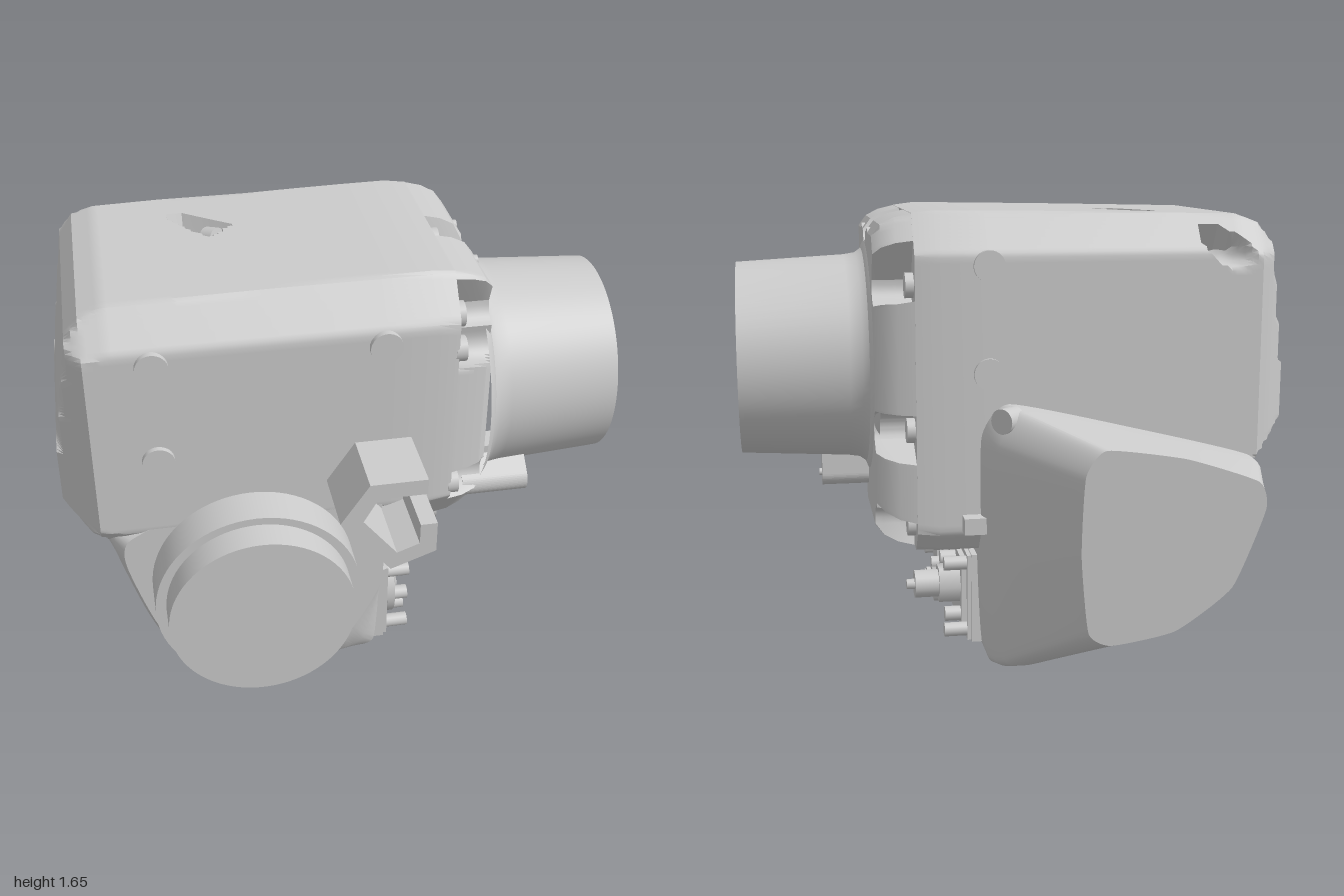
import * as THREE from 'three';
import { toCreasedNormals } from 'three/addons/utils/BufferGeometryUtils.js';

const V = (x, y, z) => new THREE.Vector3(x, y, z);
const mat = new THREE.MeshStandardMaterial({ color: 0xcccccc });

// Skin a list of closed rings (counter-clockwise about the loft direction) and cap both ends
function loft(rings, crease = 0.45) {
  const n = rings[0].length, pos = [], idx = [];
  rings.forEach(r => r.forEach(p => pos.push(p.x, p.y, p.z)));
  for (let i = 0; i < rings.length - 1; i++) for (let j = 0; j < n; j++) {
    const k = (j + 1) % n, a = i * n + j, b = i * n + k;
    idx.push(a, b, b + n, a, b + n, a + n);
  }
  [0, rings.length - 1].forEach((i, last) => {
    const c = rings[i].reduce((s, p) => s.add(p), V(0, 0, 0)).divideScalar(n);
    const m = pos.push(c.x, c.y, c.z) / 3 - 1;
    for (let j = 0; j < n; j++) {
      const a = i * n + j, b = i * n + (j + 1) % n;
      if (last) idx.push(m, a, b);
      else idx.push(m, b, a);
    }
  });
  const g = new THREE.BufferGeometry();
  g.setAttribute('position', new THREE.Float32BufferAttribute(pos, 3));
  g.setIndex(idx);
  return toCreasedNormals(g, crease);
}

// Chamfered housing outline as (z, y) corners, measured from an inner centre
const CY = 1.0, CZ = 0.05;
const chamfers = [[.43, 1.64, .54, 1.5], [-.34, 1.64, -.44, 1.5], [.54, .78, .21, .42], [-.44, .5, -.37, .42]];
const planes = chamfers.map(([z1, y1, z2, y2]) => {
  const l = Math.hypot(y2 - y1, z1 - z2), nz = (y2 - y1) / l, ny = (z1 - z2) / l;
  const d = nz * (z1 - CZ) + ny * (y1 - CY), s = Math.sign(d);
  return [nz * s, ny * s, d * s];
});
function outline(t, [, lo, hi, zb, zf, e]) {
  const y = Math.cos(t), z = Math.sin(t);
  let r = Math.min(y > 0 ? (hi - CY) / y : (lo - CY) / y, z > 0 ? (zf - CZ) / z : (zb - CZ) / z);
  planes.forEach(([nz, ny, d]) => {
    const c = nz * z + ny * y;
    if (c > 1e-6) r = Math.min(r, (d - e) / c);
  });
  return r;
}
// Half-step offset keeps every ray off the axes
const angles = Array.from({ length: 300 }, (_, i) => (i + .5) / 300 * Math.PI * 2);
const ringPoint = (x, t, r) => V(x, CY + r * Math.cos(t), CZ + r * Math.sin(t));

// Slanted screw channel sunk into the top rear edge
const chanA = V(-.36, 1.62, -.04), chanD = V(-.4, -.11, -.39).normalize();
function inChannel(p) {
  const q = p.clone().sub(chanA), s = q.dot(chanD);
  return s > 0 && q.lengthSq() - s * s < .06 * .06;
}

// Sections: x, bottom, top, back z, front z, chamfer inset
const bodySections = [
  [-1, .87, 1.08, -.34, .42, .06], [-.93, .8, 1.53, -.41, .49, .03], [-.88, .74, 1.6, -.44, .54, .01],
  [-.8, .58, 1.63, -.44, .54, 0], [-.05, .42, 1.645, -.44, .54, 0], [.3, .42, 1.65, -.44, .54, 0],
  [.38, .425, 1.64, -.43, .525, .01]];
const bodySteps = [3, 2, 4, 40, 2, 1];
// Flange bolt positions as (z, y)
const bolts = [[.44, 1.49], [.485, 1.38], [.055, 1.58], [-.36, 1.39], [-.36, .87], [-.34, .52], [.22, .5], [.485, .82]];

function bodyGeometry() {
  const rings = [];
  bodySections.forEach((s, i) => {
    const nx = bodySections[i + 1], steps = nx ? bodySteps[i] : 1;
    for (let k = 0; k < steps; k++) {
      const m = nx ? s.map((v, j) => v + (nx[j] - v) * k / steps) : s;
      rings.push(angles.map(t => {
        let r = outline(t, m), p = ringPoint(m[0], t, r);
        while (inChannel(p)) p = ringPoint(m[0], t, r -= .004);
        return p;
      }));
    }
  });
  return loft(rings);
}

// Flange with a U-shaped pocket round every bolt
function flangeGeometry() {
  const sections = [[.375, .425, 1.64, -.43, .525, .01], [.44, .44, 1.625, -.415, .51, .02],
    [.49, .465, 1.6, -.39, .49, .04], [.52, .5, 1.56, -.36, .45, .07]];
  return loft(sections.map(s => angles.map(t => {
    let r = outline(t, s);
    bolts.forEach(([bz, by]) => {
      const d = Math.hypot(bz - CZ, by - CY), a = t - Math.atan2(bz - CZ, by - CY);
      const off = d * Math.sin(a);
      if (Math.cos(a) > 0 && Math.abs(off) < .07)
        r = Math.min(r, d * Math.cos(a) - Math.sqrt(.0049 - off * off));
    });
    return ringPoint(s[0], t, r);
  })));
}

// Lower joint housing, lofted from the rear cover to the front face
function jointGeometry() {
  const full = [[.13, .03], [.15, .4], [.15, .85], [.05, .97], [-.4, .87], [-.85, .75], [-.84, .63], [-.71, .25], [-.35, .115], [.02, .01]];
  const front = [[.02, .2], [.13, .42], [.13, .75], [.05, .9], [-.35, .95], [-.78, .75], [-.8, .62], [-.68, .28], [-.35, .14], [-.12, .1]];
  const rear = [[-.17, .22], [-.14, .5], [-.15, .78], [-.22, .87], [-.5, .83], [-.76, .74], [-.79, .64], [-.68, .36], [-.48, .21], [-.25, .17]];
  const mix = (other, k) => full.map((p, i) => p.map((v, j) => v + (other[i][j] - v) * k));
  const sections = [[-.8, rear], [-.77, mix(rear, .9)], [-.56, mix(rear, .15)], [-.52, mix(rear, .06)],
    [-.46, full], [.43, full], [.5, mix(front, .5)], [.54, front]];
  return loft(sections.map(([z, pts]) => new THREE.CatmullRomCurve3(
    pts.map(([x, y]) => V(x, y, z < -.75 ? z + (.87 - y) * .035 : z)), true, 'catmullrom', .25).getPoints(100).slice(0, 100)), .4);
}

export function createModel() {
  const root = new THREE.Group();
  const add = (name, geo, p = [0, 0, 0]) => {
    const m = new THREE.Mesh(geo, mat);
    m.name = name;
    m.position.set(...p);
    root.add(m);
    return m;
  };
  const box = (name, w, h, d, p) => add(name, new THREE.BoxGeometry(w, h, d), p);
  // Cylinder from point a along direction dir
  const rod = (name, r, len, a, dir, sides = 32, r2 = r) => {
    const d = V(...dir).normalize();
    const m = add(name, new THREE.CylinderGeometry(r2, r, len, sides), a);
    m.quaternion.setFromUnitVectors(V(0, 1, 0), d);
    m.position.addScaledVector(d, len / 2);
  };
  const X = [1, 0, 0], Z = [0, 0, 1];

  add('mainHousing', bodyGeometry());
  add('boltFlange', flangeGeometry());
  add('jointHousing', jointGeometry());

  // Output neck with filleted root
  const neck = new THREE.LatheGeometry([[.46, .5], [.435, .522], [.41, .532], [.393, .555], [.386, .6], [.363, 1], [0, 1]]
    .map(p => new THREE.Vector2(...p)), 72);
  neck.rotateZ(-Math.PI / 2);
  add('outputNeck', toCreasedNormals(neck, .5), [0, 1.08, .1]);

  bolts.forEach(([z, y]) => rod('flangeBolt', .045, .04, [.37, y, z], X, 24));
  rod('channelBolt', .04, .05, [-.37, 1.6, -.05], chanD.toArray(), 24);
  for (const z of [.2, -.09]) rod('flangePin', .02, .03, [.49, 1.56, z], X, 16);

  // Round pads on both flanks
  for (const [x, y] of [[-.66, 1.45], [.12, 1.45], [-.66, 1.08]]) rod('frontPad', .056, .03, [x, y, .53], Z);
  for (const y of [1.46, 1.08]) rod('rearPad', .056, .03, [.12, y, -.455], Z);

  // Front joint drum
  rod('jointDrum', .368, .16, [-.35, .535, .53], Z, 72);
  rod('jointCap', .33, .12, [-.35, .545, .68], Z, 72);
  box('drumFoot', .12, .1, .2, [-.35, .12, .5]);
  box('drumEar', .09, .17, .06, [.085, .485, .51]);

  // Forked cable bracket
  const fork = new THREE.Shape([[-.08, .92], [.1, .7], [.26, .76], [.26, .88], [.2, .88], [.2, .8], [.12, .77], [0, .92],
    [.05, 1.01], [.22, 1.01], [.22, 1.07], [.02, 1.07]].map(p => new THREE.Vector2(...p)));
  add('cableFork', new THREE.ExtrudeGeometry(fork, { depth: .27, bevelEnabled: false }), [0, 0, .525]);

  // Stop lugs under the neck, rounded on the outer end
  const lug = new THREE.Shape();
  lug.moveTo(.05, .07);
  lug.lineTo(-.05, .07);
  lug.lineTo(-.05, -.02);
  lug.absarc(0, -.02, .05, Math.PI, Math.PI * 2);
  lug.closePath();
  for (const [y, z, a] of [[.64, .1, 0], [.755, .385, .85]]) {
    const g = new THREE.ExtrudeGeometry(lug, { depth: .25, bevelEnabled: false, curveSegments: 12 });
    g.rotateY(Math.PI / 2);
    add('stopLug', g, [.45, y, z]).rotation.x = -a;
    rod('lugPin', .014, .02, [.69, y - .02, z], X, 12);
  }
  box('sideTab', .1, .06, .08, [.17, .54, -.46]);
  rod('coverBolt', .045, .08, [.04, .93, -.5], [1, 0, -1], 24);

  // Connector panel
  box('connectorPlate', .05, .34, .75, [.145, .21, .055]);
  for (const y of [.055, .365]) box('plateRim', .02, .02, .73, [.175, y, .055]);
  for (const z of [.41, -.3]) box('plateRim', .02, .32, .02, [.175, .21, z]);
  box('connectorBlock', .05, .27, .62, [.175, .21, .055]);
  for (const z of [.39, -.28]) for (const y of [.08, .34]) rod('plateScrew', .026, .1, [.17, y, z], X, 20);
  rod('socketFlange', .145, .03, [.19, .21, .26], X, 40);
  box('socketInsert', .03, .13, .13, [.225, .21, .26]);
  for (let i = 0; i < 6; i++) {
    const a = i * Math.PI / 3;
    rod('socketScrew', .027, .06, [.21, .21 + .115 * Math.sin(a), .26 + .115 * Math.cos(a)], X, 20);
  }
  for (const [y, z] of [[.3, -.075], [.12, -.215], [.13, .1]]) rod('panelScrew', .028, .07, [.19, y, z], X, 20);
  // Hex cable glands with stepped tips
  for (const [y, z, s, len] of [[.17, 0, .068, .33], [.23, -.17, .075, .4]]) {
    rod('glandHex', s, .09, [.19, y, z], X, 6);
    rod('glandBody', s * .7, len - .3, [.27, y, z], X, 28);
    rod('glandTip', s * .35, len - .27, [.27, y, z], X, 20, s * .25);
  }
  return root;
}
